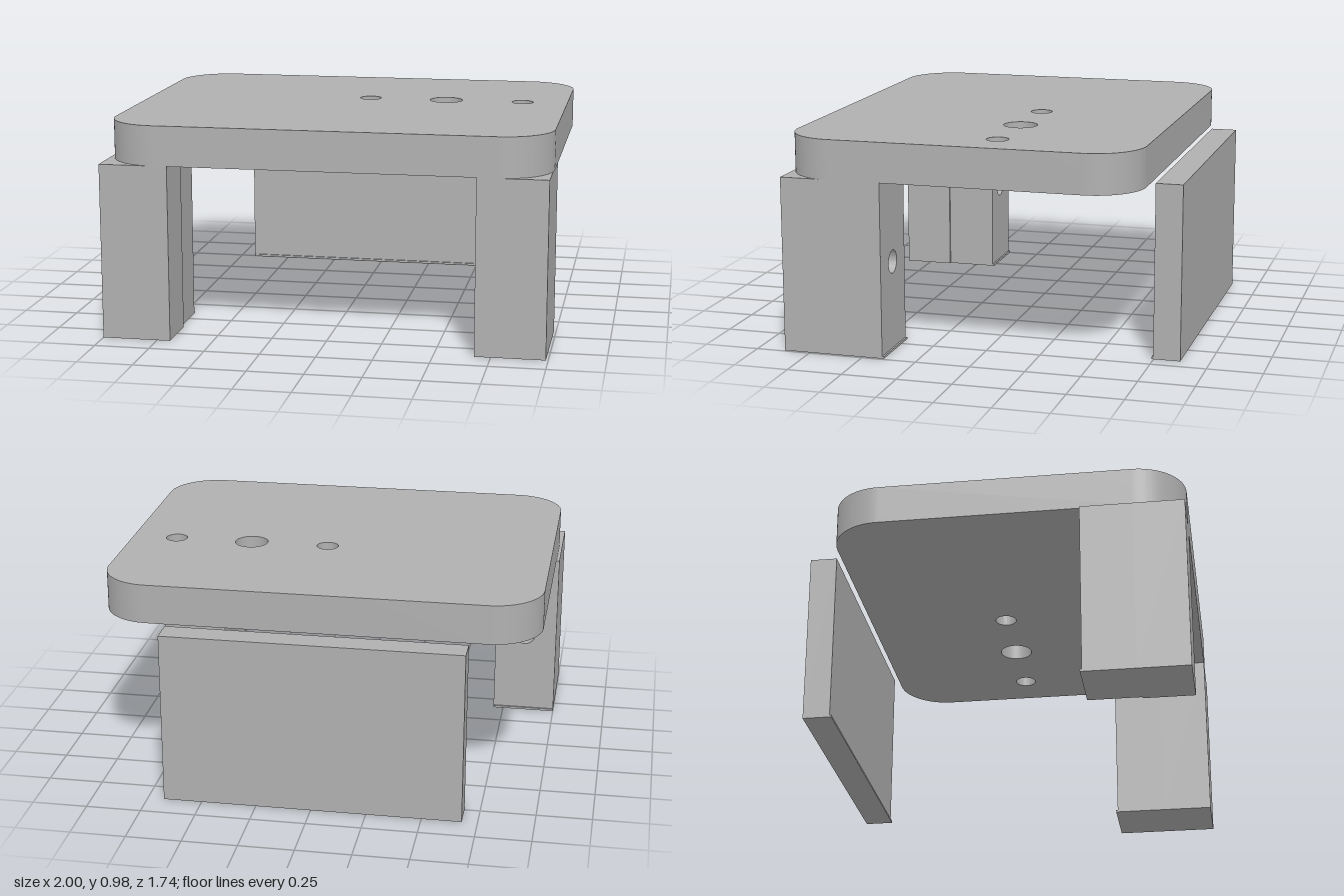
import * as THREE from 'three';
import { toCreasedNormals } from 'three/addons/utils/BufferGeometryUtils.js';

const grey = new THREE.MeshStandardMaterial({ color: 0xb0b0b0 });
grey.name = 'plain grey';

function add(parent, name, geometry) {
  const mesh = new THREE.Mesh(geometry, grey);
  mesh.name = name;
  parent.add(mesh);
  return mesh;
}

// Box given by its lower and upper limits on each axis
function box(parent, name, [x0, x1], [y0, y1], [z0, z1]) {
  const mesh = add(parent, name, new THREE.BoxGeometry(x1 - x0, y1 - y0, z1 - z0));
  mesh.position.set((x0 + x1) / 2, (y0 + y1) / 2, (z0 + z1) / 2);
  return mesh;
}

// Rounded rectangle outline; radius 0 gives square corners
function outline(x0, x1, y0, y1, r) {
  const s = new THREE.Shape();
  if (r === 0) {
    s.moveTo(x0, y0).lineTo(x1, y0).lineTo(x1, y1).lineTo(x0, y1).closePath();
    return s;
  }
  s.moveTo(x0 + r, y0);
  s.absarc(x1 - r, y0 + r, r, -Math.PI / 2, 0);
  s.absarc(x1 - r, y1 - r, r, 0, Math.PI / 2);
  s.absarc(x0 + r, y1 - r, r, Math.PI / 2, Math.PI);
  s.absarc(x0 + r, y0 + r, r, Math.PI, Math.PI * 1.5);
  return s;
}

function punch(shape, x, y, r) {
  shape.holes.push(new THREE.Path().absarc(x, y, r, 0, Math.PI * 2, true));
}

function extrude(shape, depth) {
  const g = new THREE.ExtrudeGeometry(shape, { depth, bevelEnabled: false, curveSegments: 20 });
  return toCreasedNormals(g, 0.6);
}

const LEG_TOP = 0.795;
const FRONT = 0.87;

// Solid front half, bored rear half and a thin lip along the rear bottom edge
function leg(parent, name, x0, x1, step) {
  const group = new THREE.Group();
  group.name = name;
  parent.add(group);
  const back = 0.408, mid = 0.64;
  box(group, 'legFront', [x0, x1], [0, LEG_TOP], [mid, FRONT]);
  const section = outline(x0, x1 - step, 0, LEG_TOP, 0);
  punch(section, (x0 + x1) / 2, 0.405, 0.053);
  add(group, 'legBoredRear', extrude(section, mid - back)).position.z = back;
  box(group, 'legLip', [x0, x1 - step], [0, 0.01], [back - 0.008, back]);
}

export function createModel() {
  const model = new THREE.Group();
  model.name = 'drilledTable';

  // Top plate with three through holes (shape y becomes -z)
  const plate = outline(-0.985, 0.995, -FRONT, 0.727, 0.23);
  punch(plate, 0.06, 0.068, 0.05);
  punch(plate, 0.423, 0.068, 0.077);
  punch(plate, 0.785, 0.068, 0.05);
  const top = extrude(plate, 0.18);
  top.rotateX(-Math.PI / 2);
  add(model, 'topPlate', top).position.y = LEG_TOP;

  // Front legs
  leg(model, 'rightLeg', -1, -0.69, 0.012);
  leg(model, 'leftLeg', 0.677, 0.99, 0);

  // Separate back panel with its lip
  box(model, 'backPanel', [-0.68, 0.675], [0, LEG_TOP], [-0.87, -0.748]);
  box(model, 'backPanelLip', [-0.68, 0.675], [0, 0.01], [-0.748, -0.74]);

  return model;
}
